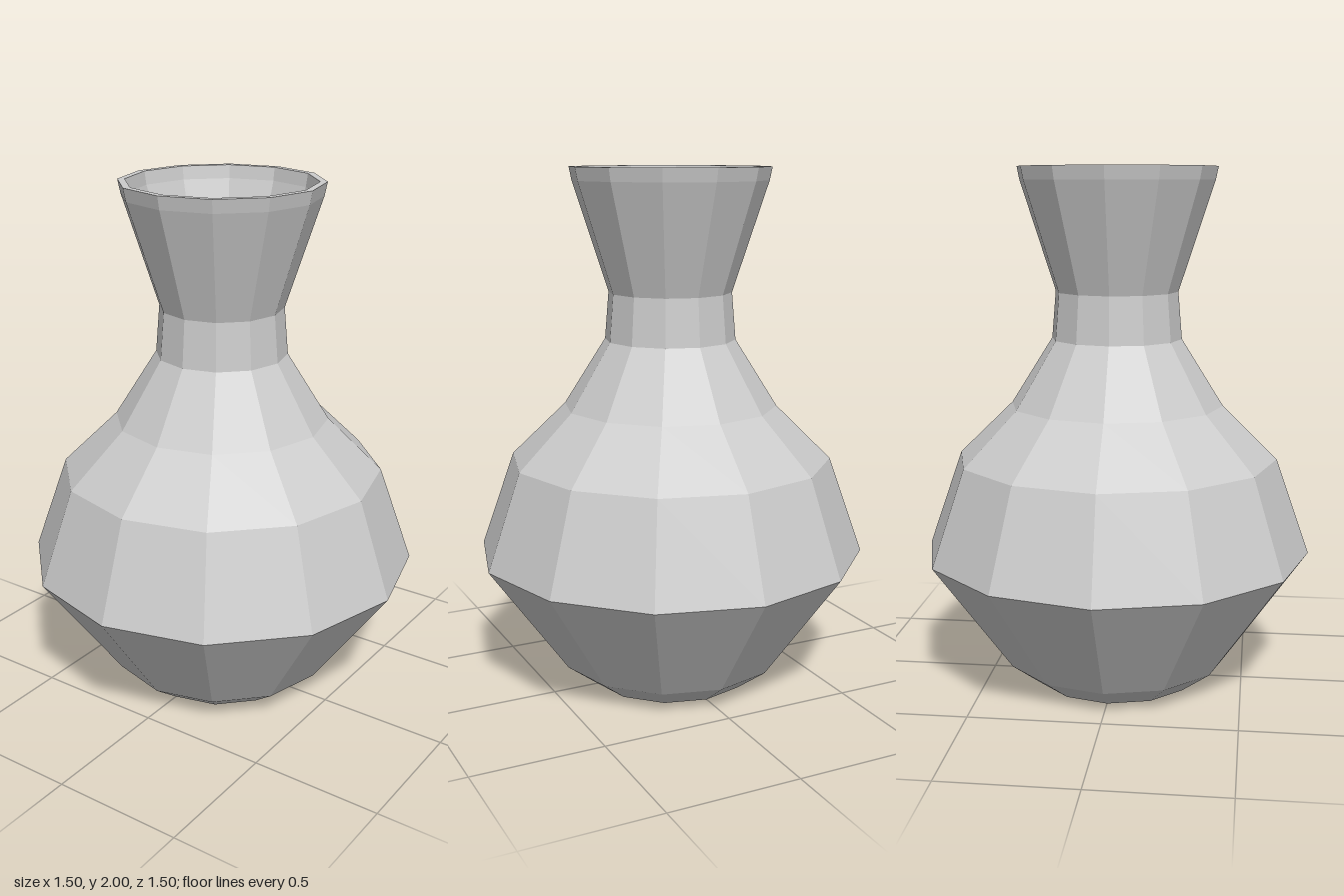
import * as THREE from 'three';

const SIDES = 12;
const WALL = 0.025;

export function createModel() {
  const model = new THREE.Group();
  model.name = 'vase';
  const clay = new THREE.MeshStandardMaterial({ color: 0xcccccc, flatShading: true });
  clay.name = 'pale grey clay';

  // Outer wall, foot to lip: [radius, height]
  const outer = [
    [0.32, 0], [0.44, 0.09], [0.75, 0.525], [0.62, 0.895], [0.41, 1.1],
    [0.25, 1.355], [0.235, 1.535], [0.37, 1.95], [0.38, 2],
  ];
  // Inner wall, lip to floor, one wall thickness inside the outer one
  const inner = outer.map(([r, y]) => [r - WALL, y]).reverse();
  inner[0] = [0.353, 2];
  inner[inner.length - 1][1] = WALL;

  const addLathe = (name, points) => {
    const profile = points.map(([r, y]) => new THREE.Vector2(r, y));
    const mesh = new THREE.Mesh(new THREE.LatheGeometry(profile, SIDES), clay);
    mesh.name = name;
    model.add(mesh);
  };

  addLathe('base', [[0, 0], outer[0]]);
  addLathe('outerWall', outer);
  addLathe('rim', [outer[outer.length - 1], inner[0]]);
  addLathe('innerWall', inner);
  addLathe('innerFloor', [inner[inner.length - 1], [0, WALL]]);
  return model;
}
